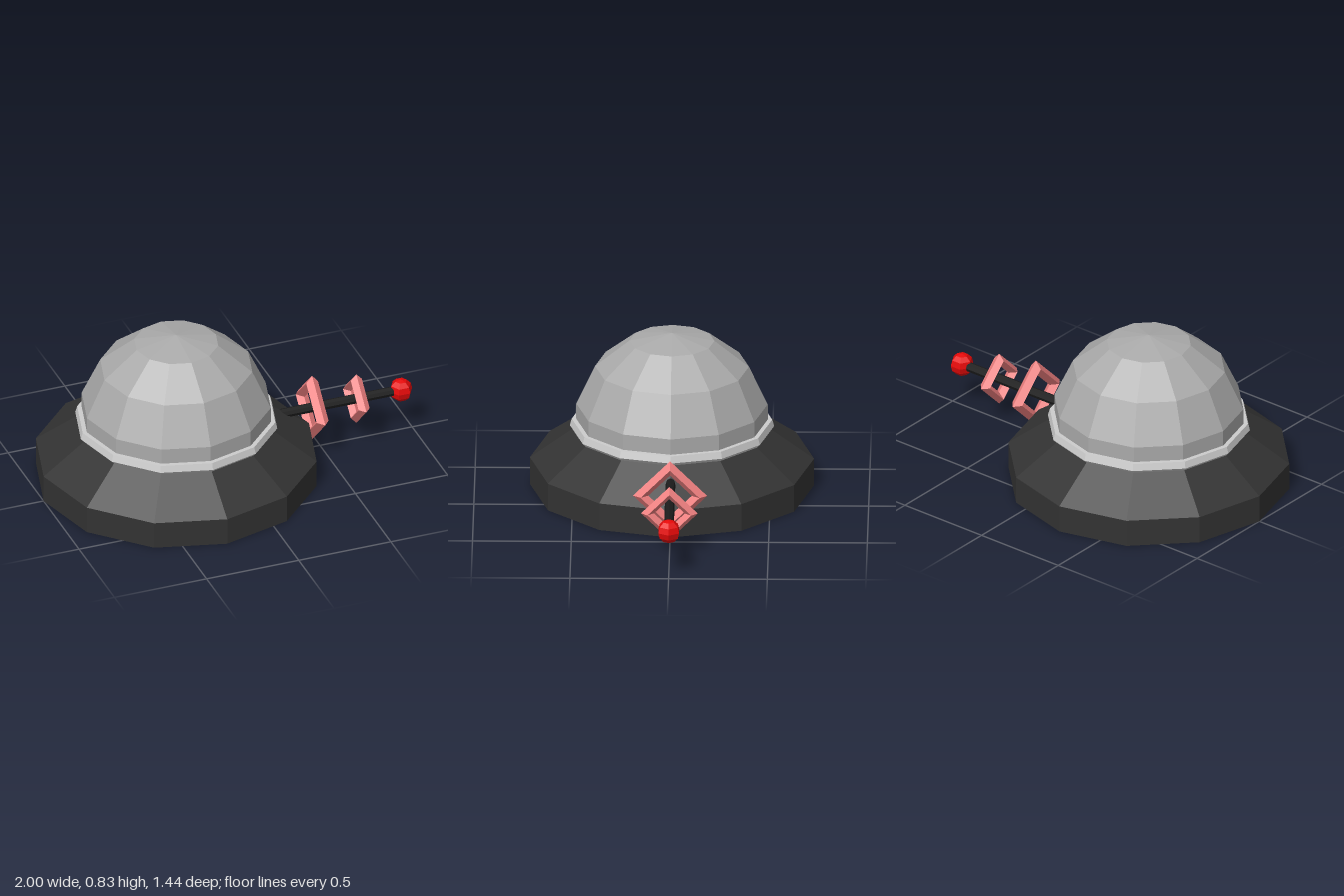
import * as THREE from 'three';

const SIDES = 12;
const BODY_X = -0.28;
const ROD_Y = 0.235;

const material = (color) => new THREE.MeshStandardMaterial({ color, flatShading: true });

export function createModel() {
  const model = new THREE.Group();

  const add = (name, geometry, mat, x, y) => {
    const mesh = new THREE.Mesh(geometry, mat);
    mesh.name = name;
    mesh.position.set(x, y, 0);
    model.add(mesh);
    return mesh;
  };

  // Twelve-sided turned part from [radius, height] pairs, bottom to top
  const turned = (name, profile, color) => {
    const points = profile.map(([r, y]) => new THREE.Vector2(r, y));
    return add(name, new THREE.LatheGeometry(points, SIDES), material(color), BODY_X, 0);
  };

  // Body: flared base, trim band and faceted dome
  turned('base', [[0, 0], [0.72, 0], [0.72, 0.145], [0.5, 0.305], [0, 0.305]], 0x333333);
  turned('trimBand', [[0.48, 0.305], [0.503, 0.305], [0.518, 0.322], [0.508, 0.357], [0.48, 0.357]], 0xcccccc);
  turned('dome', [[0.485, 0.305], [0.485, 0.44], [0.39, 0.645], [0.215, 0.785], [0, 0.828]], 0xaaaaaa);

  // Antenna rod, running from inside the base to the ball
  const rod = new THREE.CylinderGeometry(0.025, 0.025, 0.78, 8).rotateZ(Math.PI / 2);
  add('antennaRod', rod, material(0x1c1c1c), 0.53, ROD_Y);

  // Diamond rings around the rod: [x, radius, tube, half width]
  const ringMaterial = material(0xf08080);
  [[0.457, 0.149, 0.039, 0.032], [0.697, 0.111, 0.033, 0.03]].forEach(([x, radius, tube, half], i) => {
    const ring = new THREE.TorusGeometry(radius, tube, 4, 4)
      .scale(1, 1, half / tube)
      .rotateY(Math.PI / 2);
    add(i ? 'outerRing' : 'innerRing', ring, ringMaterial, x, ROD_Y);
  });

  // Ball at the tip
  add('antennaBall', new THREE.SphereGeometry(0.061, 6, 6), material(0xe60808), 0.939, ROD_Y);

  return model;
}
